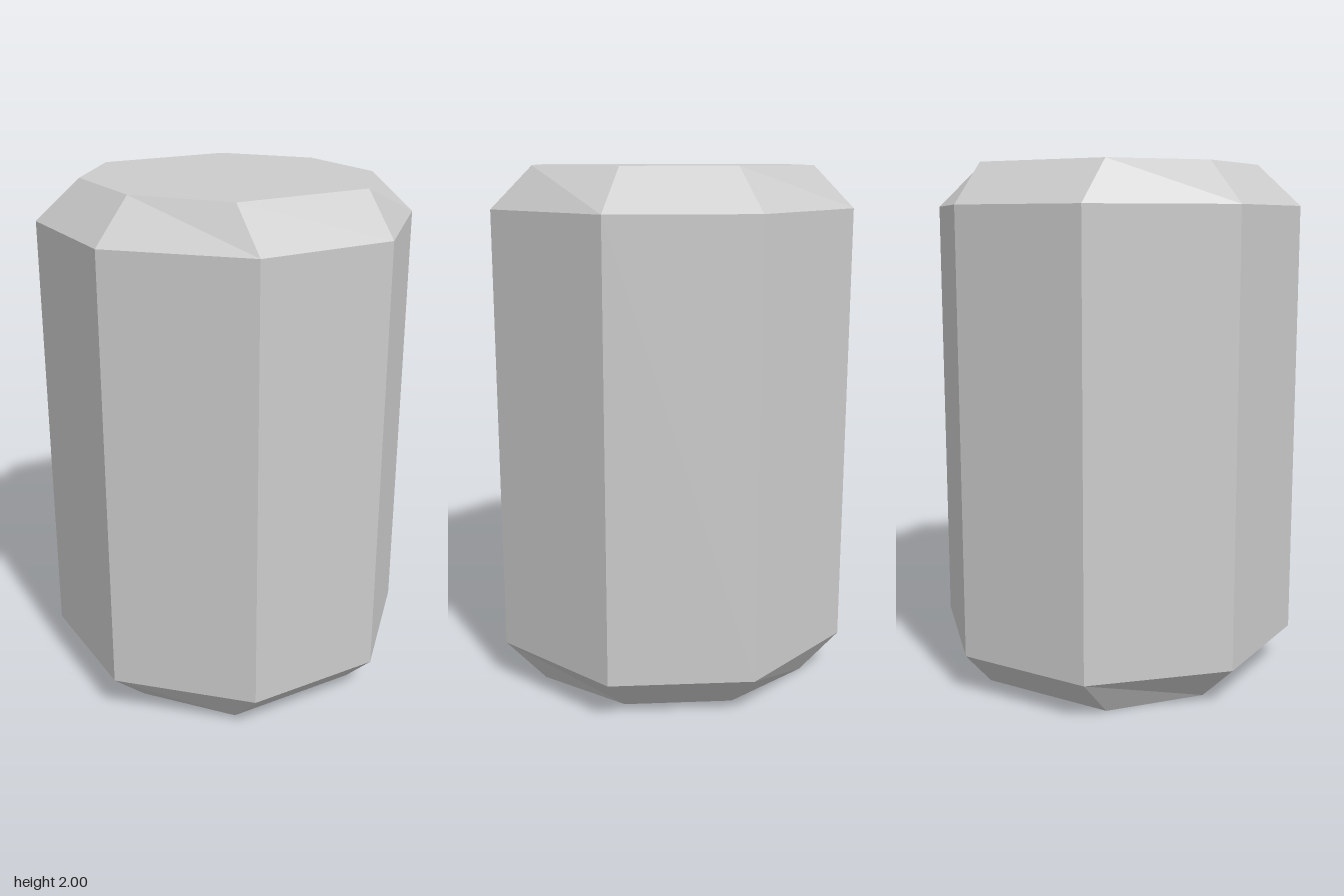
import * as THREE from 'three';

// Octagon ring: long faces at z = ±depth and x = ±width, with their half lengths
function ring(y, halfX, depth, width, halfZ) {
  return [
    [halfX, -depth], [width, -halfZ], [width, halfZ], [halfX, depth],
    [-halfX, depth], [-width, halfZ], [-width, -halfZ], [-halfX, -depth],
  ].map(([x, z]) => [x, y, z]);
}

export function createModel() {
  const group = new THREE.Group();

  // Cross-sections from the base to the top
  const rings = [
    ring(0, 0.267, 0.512, 0.512, 0.205),
    ring(0.155, 0.267, 0.665, 0.665, 0.27),
    ring(1.845, 0.267, 0.665, 0.665, 0.27),
    ring(2, 0.267, 0.512, 0.512, 0.205),
  ];
  const positions = [];
  const tri = (a, b, c) => positions.push(...a, ...b, ...c);

  // Walls and chamfers
  for (let r = 0; r < 3; r++) {
    for (let i = 0; i < 8; i++) {
      const j = (i + 1) % 8;
      const low = rings[r], high = rings[r + 1];
      tri(low[i], high[i], high[j]);
      tri(low[i], high[j], low[j]);
    }
  }

  // Flat ends
  for (let i = 0; i < 8; i++) {
    const j = (i + 1) % 8;
    tri([0, 0, 0], rings[0][i], rings[0][j]);
    tri([0, 2, 0], rings[3][j], rings[3][i]);
  }

  const geometry = new THREE.BufferGeometry();
  geometry.setAttribute('position', new THREE.Float32BufferAttribute(positions, 3));
  geometry.computeVertexNormals();

  const body = new THREE.Mesh(
    geometry,
    new THREE.MeshStandardMaterial({ color: 0xcccccc, flatShading: true })
  );
  body.name = 'chamferedBarrel';
  group.add(body);
  return group;
}
